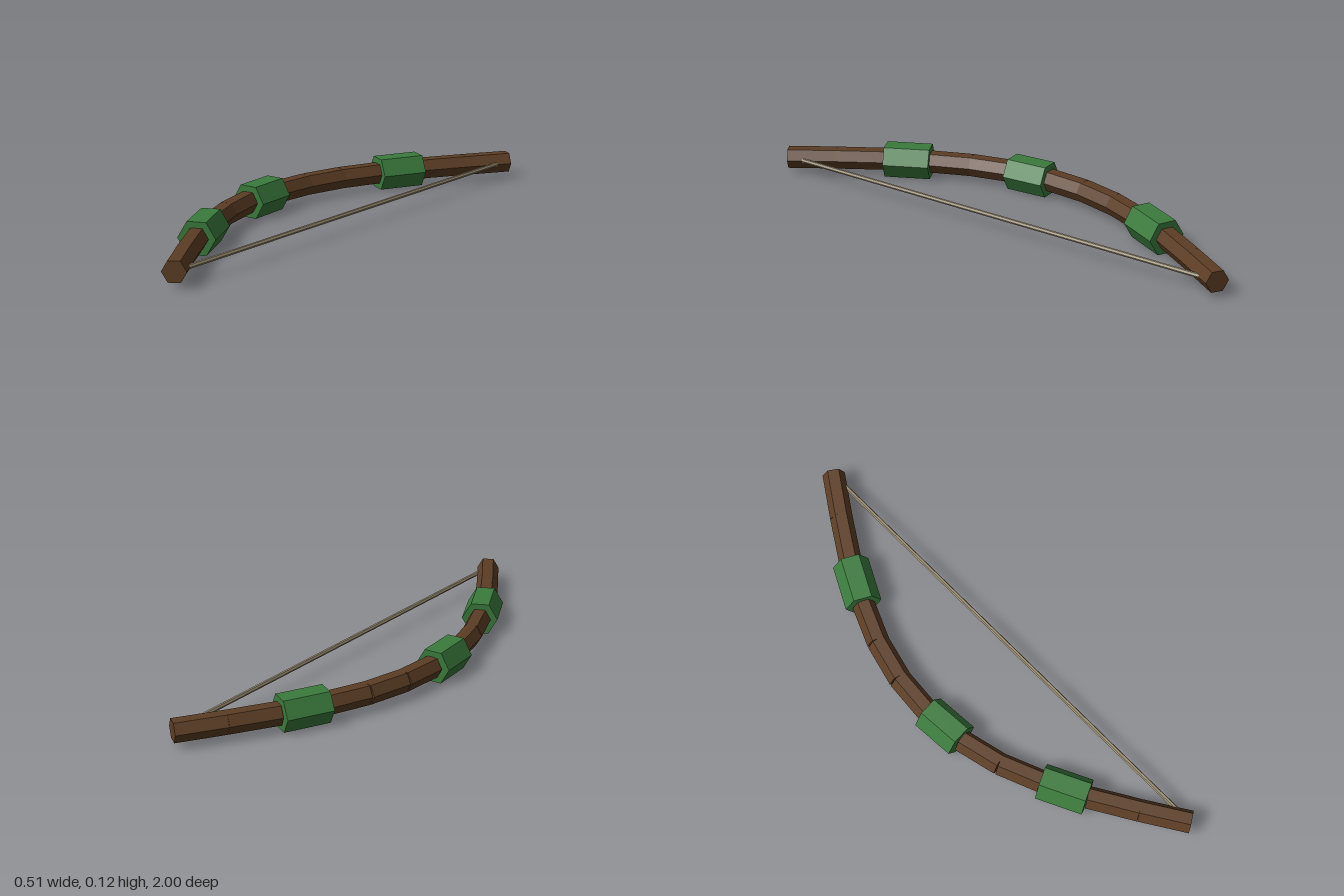
import * as THREE from 'three';

const AXIS_Y = 0.061;

// Hexagonal bar between two [x, z] points, flat faces up and down
function hexBar(name, a, b, radius, material) {
  const dx = b[0] - a[0], dz = b[1] - a[1];
  const geometry = new THREE.CylinderGeometry(radius, radius, Math.hypot(dx, dz), 6)
    .rotateY(Math.PI / 6)
    .rotateX(Math.PI / 2)
    .toNonIndexed();
  geometry.computeVertexNormals();
  const mesh = new THREE.Mesh(geometry, material);
  mesh.name = name;
  mesh.position.set((a[0] + b[0]) / 2, AXIS_Y, (a[1] + b[1]) / 2);
  mesh.rotation.y = Math.atan2(dx, dz);
  return mesh;
}

function flatMaterial(name, color) {
  const material = new THREE.MeshStandardMaterial({ color, flatShading: true });
  material.name = name;
  return material;
}

export function createModel() {
  const bow = new THREE.Group();
  bow.name = 'bow';
  const wood = flatMaterial('brown wood', 0x5c3d24);
  const wrap = flatMaterial('green wrap', 0x3a7a3c);
  const cord = flatMaterial('tan cord', 0x9c8f73);

  // Curve of one limb, from the middle to the tip, as [x, z]
  const path = [
    [-0.187, 0], [-0.174, 0.168], [-0.133, 0.333], [-0.069, 0.486],
    [0.012, 0.648], [0.115, 0.815], [0.22, 0.976],
  ];

  // Two mirrored limbs of straight segments; wrapped segments are thicker
  for (const side of [1, -1]) {
    const limb = new THREE.Group();
    limb.name = side > 0 ? 'frontLimb' : 'backLimb';
    for (let i = 0; i < path.length - 1; i++) {
      const a = [path[i][0], path[i][1] * side];
      const b = [path[i + 1][0], path[i + 1][1] * side];
      const isGrip = i === 0 && side > 0;
      if (isGrip) limb.add(hexBar('grip', a, b, 0.0705, wrap));
      else if (i === 3) limb.add(hexBar('limbWrap', a, b, 0.0705, wrap));
      else limb.add(hexBar('limbSegment', a, b, 0.044, wood));
    }
    bow.add(limb);
  }

  // Straight string between the tips
  bow.add(hexBar('string', [0.217, -0.965], [0.217, 0.965], 0.0085, cord));
  return bow;
}
